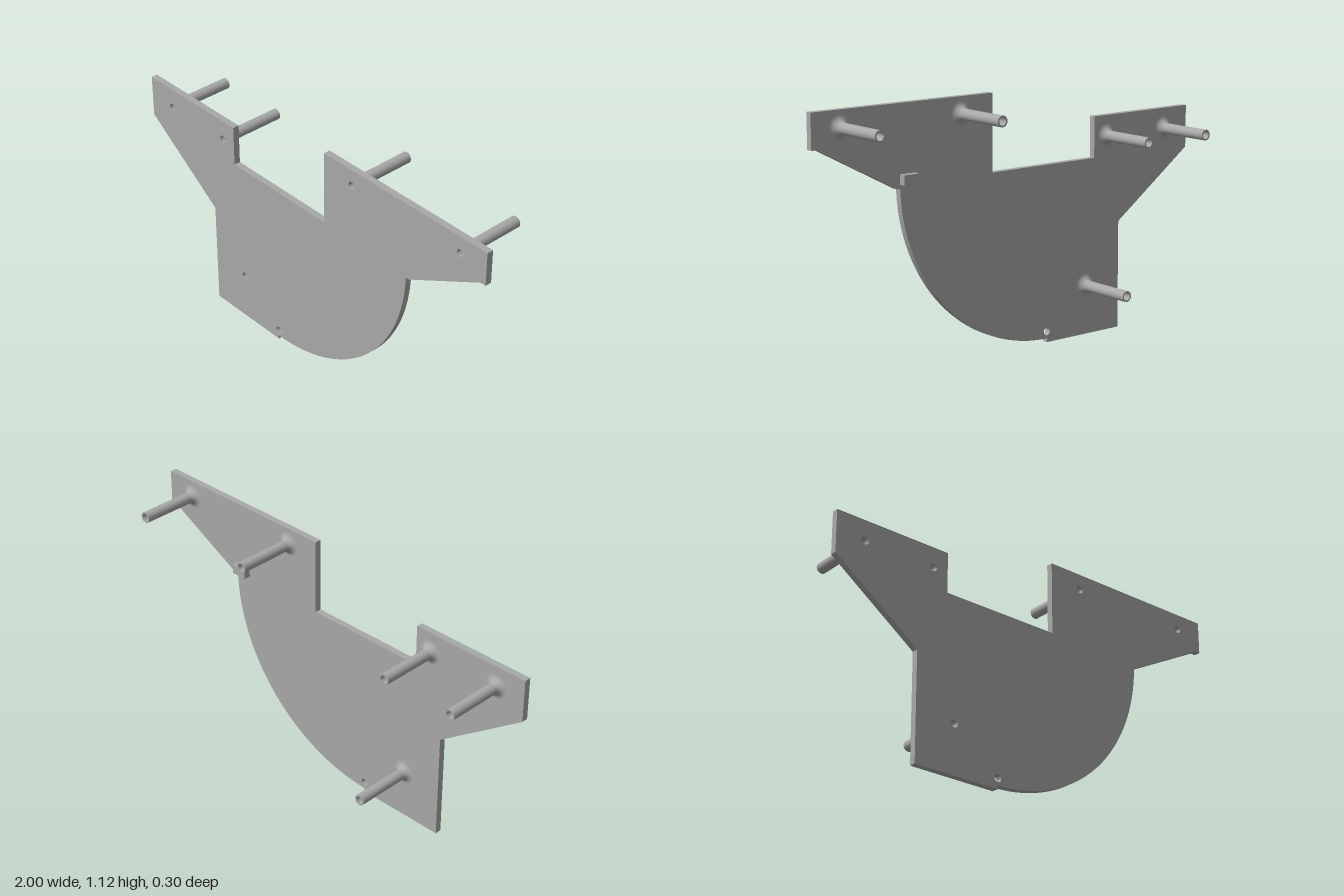
import * as THREE from 'three';
import { mergeGeometries, toCreasedNormals } from 'three/addons/utils/BufferGeometryUtils.js';

const FRONT = 0.149, BACK = 0.12, TIP = -0.149;
const BORE = 0.017, POST = 0.024, FILLET = 0.03;
const posts = [[-0.862, 0.874], [-0.523, 0.874], [0.273, 1.044], [0.865, 1.044], [-0.405, 0.22]];
const pinHole = [-0.183, 0.048];

// Flat plate with a quarter-round corner and bored holes
function plateGeometry() {
  const s = new THREE.Shape();
  s.moveTo(-1, 0.965);
  s.lineTo(-1, 0.775);
  s.lineTo(-0.595, 0.484);
  s.lineTo(-0.595, 0);
  s.lineTo(-0.185, 0);
  s.lineTo(-0.185, 0.017);
  s.absarc(-0.185, 0.787, 0.77, -Math.PI / 2, -0.022, false);
  s.lineTo(0.6, 0.77);
  s.lineTo(0.975, 0.968);
  s.lineTo(1, 0.968);
  s.lineTo(1, 1.117);
  s.lineTo(0.113, 1.117);
  s.lineTo(0.113, 0.783);
  s.lineTo(-0.45, 0.783);
  s.lineTo(-0.45, 0.965);
  s.closePath();
  for (const [x, y] of [...posts, pinHole]) {
    const hole = new THREE.Path();
    hole.absarc(x, y, BORE, 0, Math.PI * 2, true);
    s.holes.push(hole);
  }
  const g = new THREE.ExtrudeGeometry(s, { depth: FRONT - BACK, bevelEnabled: false, curveSegments: 40 });
  g.translate(0, 0, BACK);
  return toCreasedNormals(g, 0.5);
}

// Hollow post with a filleted foot, pointing to the back
function postGeometry() {
  const length = BACK - TIP;
  const v = (r, h) => new THREE.Vector2(r, h);
  const outer = [];
  for (let i = 0; i <= 8; i++) {
    const a = (i / 8) * Math.PI / 2;
    outer.push(v(POST + FILLET * (1 - Math.sin(a)), FILLET * (1 - Math.cos(a))));
  }
  outer.push(v(POST, length));
  const rim = [v(POST, length), v(BORE, length)];
  const bore = [v(BORE, length), v(BORE, 0)];
  const g = mergeGeometries([outer, rim, bore].map((p) => new THREE.LatheGeometry(p, 32)));
  return g.rotateX(-Math.PI / 2);
}

export function createModel() {
  const model = new THREE.Group();
  model.name = 'mountingPlate';
  const grey = new THREE.MeshStandardMaterial({ color: 0xa8a8a8 });
  grey.name = 'grey';

  const add = (name, geometry, x = 0, y = 0, z = 0) => {
    const mesh = new THREE.Mesh(geometry, grey);
    mesh.name = name;
    mesh.position.set(x, y, z);
    model.add(mesh);
  };

  add('plate', plateGeometry());
  const post = postGeometry();
  posts.forEach(([x, y], i) => add(`post${i + 1}`, post, x, y, BACK));

  // Small stop block on the back, at the end of the arc
  add('stopBlock', new THREE.BoxGeometry(0.073, 0.042, 0.03), 0.548, 0.808, BACK - 0.015);
  return model;
}
